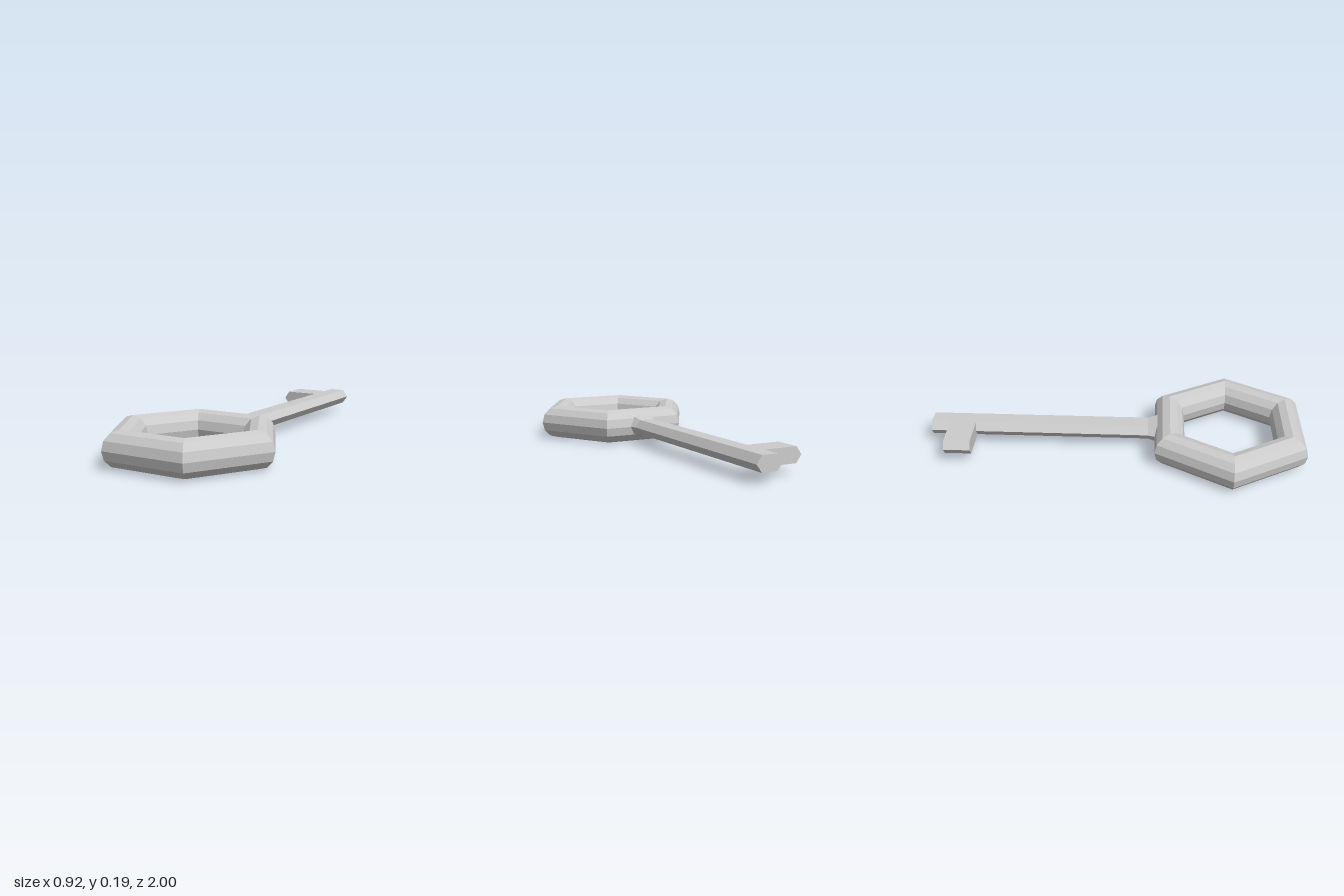
import * as THREE from 'three';

const AXIS_Y = 0.094; // height of the key's middle plane

export function createModel() {
  const key = new THREE.Group();
  key.name = 'key';
  const material = new THREE.MeshStandardMaterial({ color: 0xcccccc, flatShading: true });

  const add = (name, geometry) => {
    const mesh = new THREE.Mesh(geometry, material);
    mesh.name = name;
    key.add(mesh);
    return mesh;
  };

  // Straight prism along z from a list of [x, y] corners
  const prism = (points, z0, z1) => {
    const shape = new THREE.Shape(points.map(([x, y]) => new THREE.Vector2(x, y)));
    return new THREE.ExtrudeGeometry(shape, { depth: z1 - z0, bevelEnabled: false }).translate(0, AXIS_Y, z0);
  };

  // Six-sided bow with a twelve-sided section
  const bow = new THREE.TorusGeometry(0.366, 0.0925, 12, 6);
  bow.rotateX(-Math.PI / 2).translate(0, 0.0925, 0.603);
  add('bow', bow);

  // Flattened hexagonal shaft
  const w = 0.071, e = 0.042, h = 0.04;
  const hexagon = [[w, 0], [e, h], [-e, h], [-w, 0], [-e, -h], [e, -h]];
  add('shaft', prism(hexagon, -1, 0.17));

  // Collar flaring from the shaft into the bow
  const collar = prism(hexagon, 0.17, 0.22);
  const p = collar.attributes.position;
  for (let i = 0; i < p.count; i++) {
    if (p.getZ(i) > 0.2) p.setXY(i, p.getX(i) * 1.22, AXIS_Y + (p.getY(i) - AXIS_Y) * 1.35);
  }
  collar.computeVertexNormals();
  add('collar', collar);

  // Bit: the shaft's side drawn outwards, keeping its pointed edge
  add('bit', prism([[-e, h], [-0.222, h], [-0.25, 0], [-0.222, -h], [-e, -h]], -0.9, -0.76));

  return key;
}
